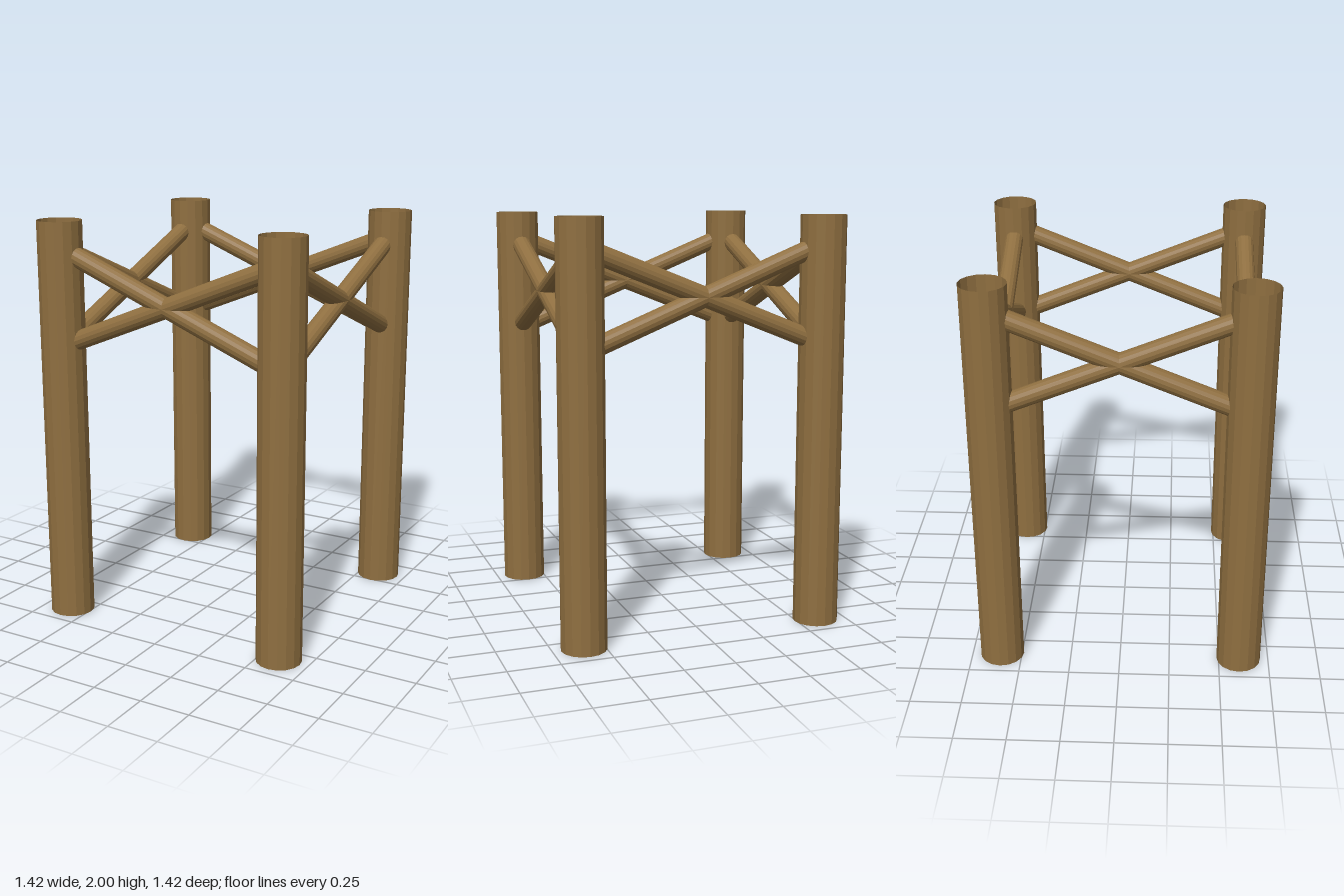
import * as THREE from 'three';

export function createModel() {
  const model = new THREE.Group();
  const wood = new THREE.MeshStandardMaterial({
    color: 0x8f6f40, flatShading: true, side: THREE.DoubleSide,
  });
  wood.name = 'brown wood';

  const spread = 0.6; // post centres from the middle
  const crossY = 1.627; // height where braces cross
  const slope = 0.4;

  // Open hollow post
  const postGeometry = new THREE.CylinderGeometry(0.11, 0.11, 2, 16, 1, true);

  // Open diagonal pole, ends cut obliquely inside the posts
  const low = new THREE.Vector3(-0.6, -0.6 * slope, 0);
  const high = new THREE.Vector3(0.557, 0.557 * slope, 0);
  const braceGeometry = new THREE.CylinderGeometry(0.0467, 0.0467, low.distanceTo(high), 16, 1, true);
  const p = braceGeometry.attributes.position;
  for (let i = 0; i < p.count; i++) p.setY(i, p.getY(i) + 0.28 * p.getX(i));
  braceGeometry.rotateZ(Math.atan(slope) - Math.PI / 2);
  braceGeometry.translate((low.x + high.x) / 2, (low.y + high.y) / 2, 0);
  braceGeometry.computeVertexNormals();

  // Four sides, each with one corner post and a pair of crossed braces
  for (let i = 0; i < 4; i++) {
    const side = new THREE.Group();
    side.name = 'frameSide' + (i + 1);
    side.rotation.y = i * Math.PI / 2;

    const post = new THREE.Mesh(postGeometry, wood);
    post.name = 'cornerPost';
    post.position.set(spread, 1, spread);
    side.add(post);

    for (const turn of [0, Math.PI]) {
      const brace = new THREE.Mesh(braceGeometry, wood);
      brace.name = turn ? 'fallingBrace' : 'risingBrace';
      brace.position.set(0, crossY, spread);
      brace.rotation.y = turn;
      side.add(brace);
    }
    model.add(side);
  }
  return model;
}
